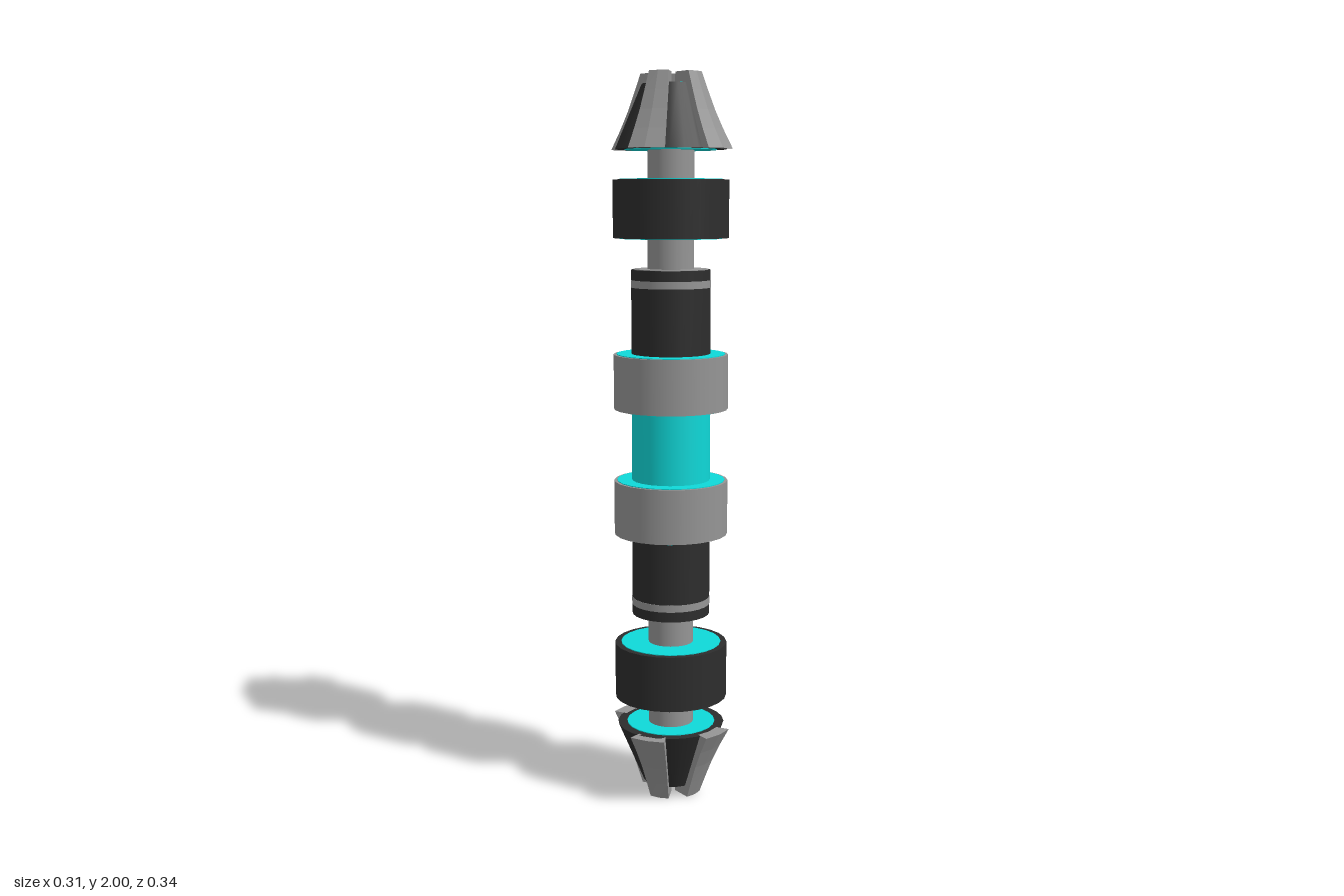
import * as THREE from 'three';

const mat = (name, color) => {
  const m = new THREE.MeshStandardMaterial({ color });
  m.name = name;
  return m;
};

export function createModel() {
  const grey = mat('grey metal', 0x959595);
  const dark = mat('dark grip', 0x2d2d2d);
  const teal = mat('teal glow', 0x0fd8d8);
  const model = new THREE.Group();
  model.name = 'staff';

  const add = (parent, name, geometry, material) => {
    const mesh = new THREE.Mesh(geometry, material);
    mesh.name = name;
    parent.add(mesh);
    return mesh;
  };
  // Upright cylinder or cone from y0 to y1
  const drum = (parent, name, r0, r1, y0, y1, material) => {
    const g = new THREE.CylinderGeometry(r1, r0, y1 - y0, 24);
    add(parent, name, g.translate(0, (y0 + y1) / 2, 0), material);
  };
  // Thin disc laid on an end face
  const plate = (parent, name, r, y, material) =>
    drum(parent, name, r, r, y - 0.002, y + 0.002, material);

  // Claw: side profile (radius, height) swept over a small wedge about the axis
  const clawGeometry = (theta) => {
    const profile = [[0.03, 0.97], [0.07, 0.97], [0.14, 0.8], [0.178, 0.8],
      [0.151, 0.85], [0.127, 0.9], [0.107, 0.95], [0.088, 1], [0.03, 1]];
    const shape = new THREE.Shape(profile.map(([r, y]) => new THREE.Vector2(r, y)));
    const g = new THREE.ExtrudeGeometry(shape, { depth: 2, steps: 2, bevelEnabled: false });
    const p = g.attributes.position;
    for (let i = 0; i < p.count; i++) {
      const r = p.getX(i);
      const half = Math.asin((0.013 + (r - 0.03) * 0.25) / r);
      const a = theta + (p.getZ(i) - 1) * half;
      p.setXYZ(i, r * Math.cos(a), p.getY(i), r * Math.sin(a));
    }
    g.computeVertexNormals();
    return g;
  };

  // One half, measured upward from the middle of the staff
  const buildHalf = (name) => {
    const half = new THREE.Group();
    half.name = name;

    drum(half, 'core', 0.108, 0.108, 0, 0.1, teal);

    // Inner collar with glowing faces
    drum(half, 'collar', 0.157, 0.157, 0.1, 0.25, grey);
    plate(half, 'collarInnerGlow', 0.149, 0.1, teal);
    plate(half, 'collarOuterGlow', 0.149, 0.25, teal);

    // Grip sleeve with band and end face
    drum(half, 'grip', 0.108, 0.108, 0.25, 0.48, dark);
    drum(half, 'gripBand', 0.109, 0.109, 0.432, 0.452, grey);
    plate(half, 'gripEnd', 0.102, 0.48, grey);

    drum(half, 'shaft', 0.063, 0.063, 0.48, 0.81, grey);

    // Outer ring with glowing faces
    drum(half, 'outerRing', 0.157, 0.157, 0.565, 0.72, dark);
    plate(half, 'ringInnerGlow', 0.14, 0.565, teal);
    plate(half, 'ringOuterGlow', 0.14, 0.72, teal);

    // Emitter cone
    drum(half, 'emitterCone', 0.15, 0.078, 0.8, 0.97, dark);
    plate(half, 'emitterBaseGlow', 0.124, 0.8, teal);
    plate(half, 'emitterTipGlow', 0.062, 0.97, teal);

    // Four claws, closer to the front and back than to the sides
    const tilt = THREE.MathUtils.degToRad(54);
    for (const theta of [tilt, Math.PI - tilt, Math.PI + tilt, -tilt])
      add(half, 'claw', clawGeometry(theta), grey);

    half.position.y = 1;
    model.add(half);
    return half;
  };

  buildHalf('upperHalf');
  buildHalf('lowerHalf').rotation.x = Math.PI;
  return model;
}
